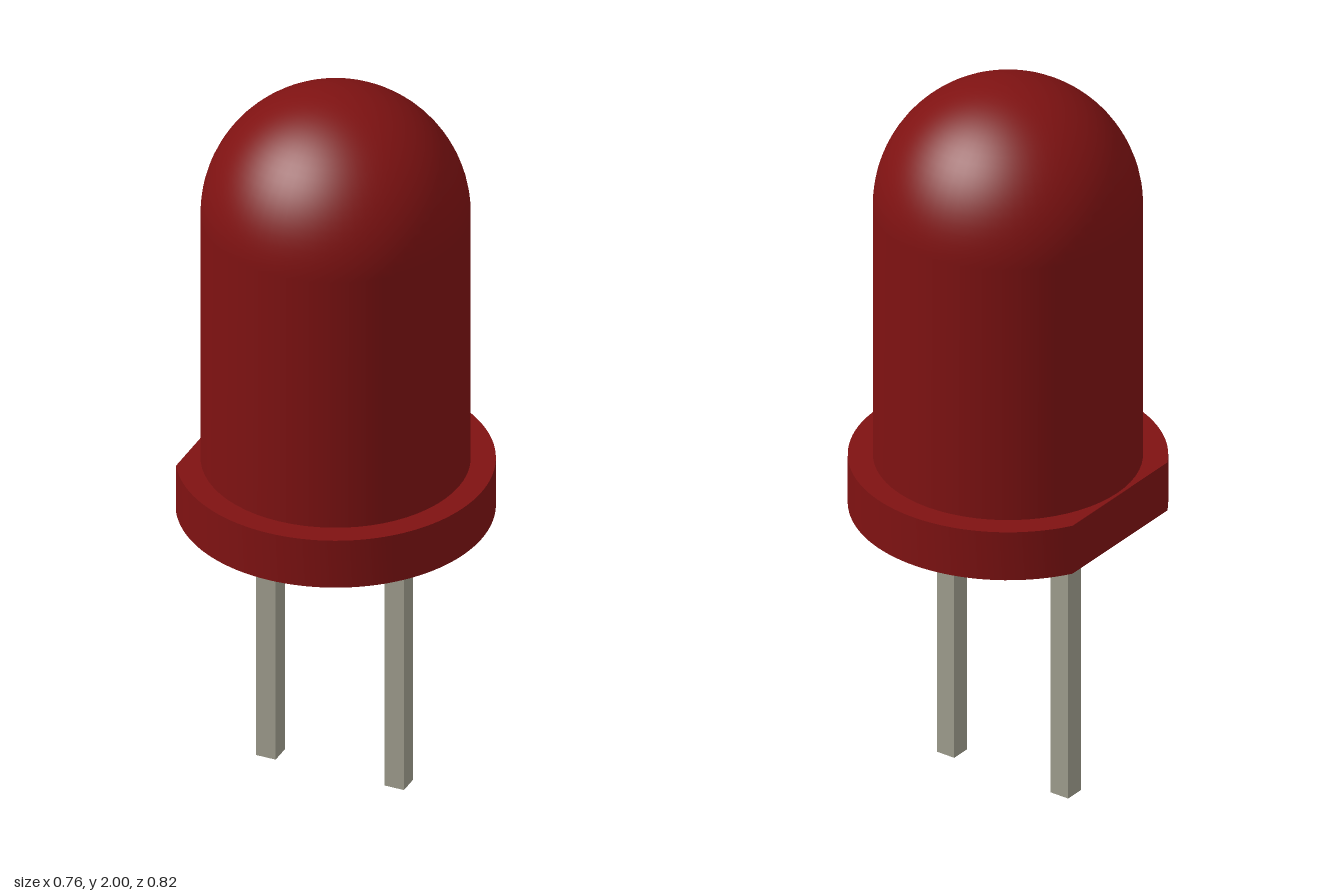
import * as THREE from 'three';
import { toCreasedNormals } from 'three/addons/utils/BufferGeometryUtils.js';

const CENTER_X = -0.028;
const FLANGE_Y = 0.785, FLANGE_TOP = 0.925;
const BODY_R = 0.345, FLANGE_R = 0.409, FLAT_X = 0.354;

export function createModel() {
  const group = new THREE.Group();
  const red = new THREE.MeshStandardMaterial({ color: 0x7f1212 });
  const metal = new THREE.MeshStandardMaterial({ color: 0xa09e8e });

  const add = (name, geometry, material, x, y) => {
    const mesh = new THREE.Mesh(geometry, material);
    mesh.name = name;
    mesh.position.set(x, y, 0);
    group.add(mesh);
  };

  // Bulb: straight cylinder wall running tangentially into a hemisphere
  const domeY = 2 - BODY_R;
  const profile = [new THREE.Vector2(BODY_R, FLANGE_TOP)];
  for (let i = 0; i <= 20; i++) {
    const a = (i / 20) * Math.PI / 2;
    profile.push(new THREE.Vector2(i === 20 ? 0 : BODY_R * Math.cos(a), domeY + BODY_R * Math.sin(a)));
  }
  add('bulb', new THREE.LatheGeometry(profile, 64), red, CENTER_X, 0);

  // Flange: round rim with one flat cut on the -x side
  const half = Math.PI - Math.acos(FLAT_X / FLANGE_R);
  const rim = new THREE.Shape();
  rim.absarc(0, 0, FLANGE_R, -half, half, false);
  rim.closePath();
  const flange = new THREE.ExtrudeGeometry(rim, {
    depth: FLANGE_TOP - FLANGE_Y, bevelEnabled: false, curveSegments: 48,
  });
  flange.rotateX(-Math.PI / 2);
  add('flange', toCreasedNormals(flange, 0.3), red, CENTER_X, FLANGE_Y);

  // Two square wire legs
  for (const [name, x] of [['rightLeg', -0.211], ['leftLeg', 0.149]]) {
    add(name, new THREE.BoxGeometry(0.055, FLANGE_Y, 0.056), metal, x, FLANGE_Y / 2);
  }
  return group;
}
